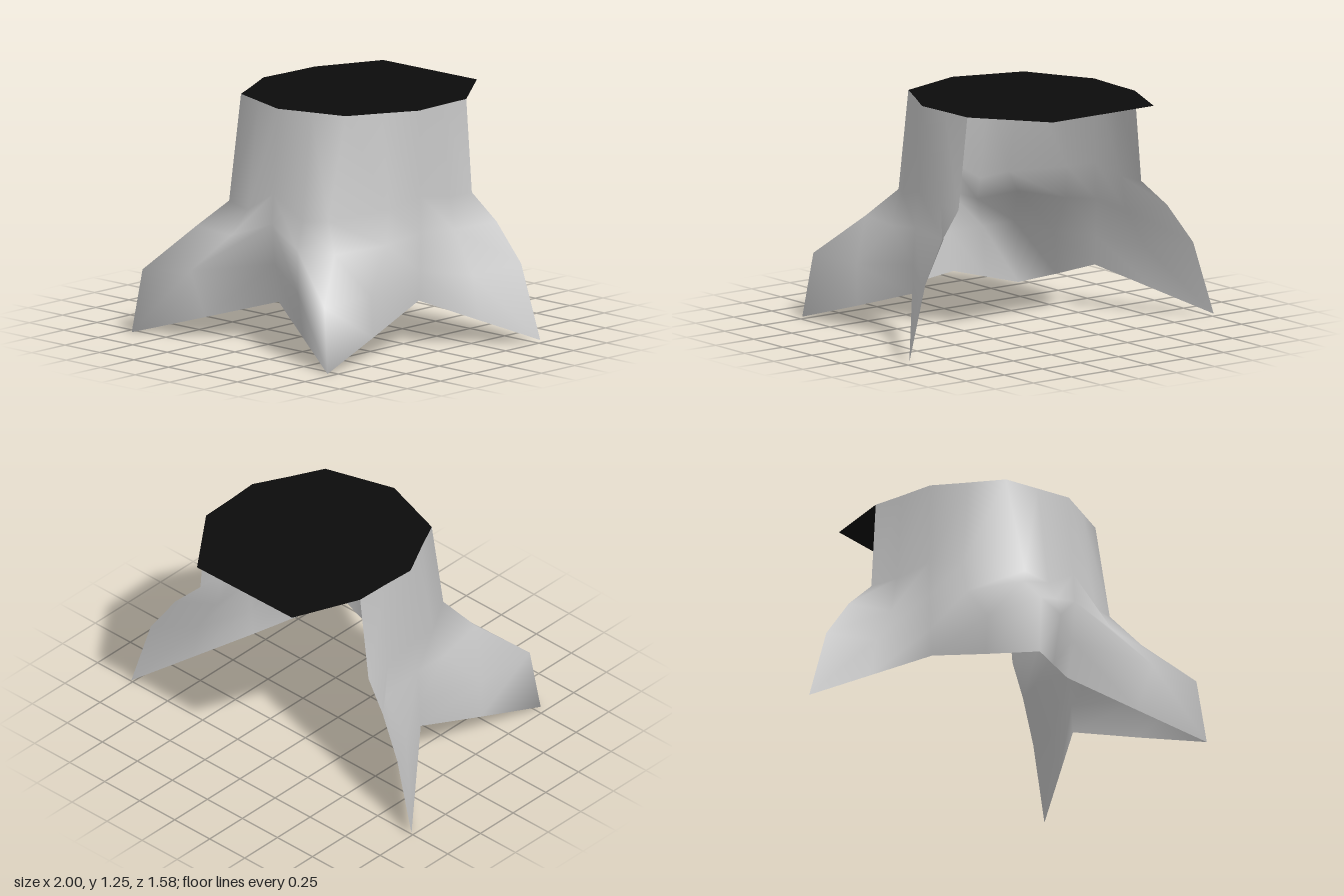
import * as THREE from 'three';

// Half of the stump wall: columns from the back root round to the front middle,
// each running from the rim down through shoulder, hip and knee to the ground edge.
const HALF_COLUMNS = [
  [[0.55, 1.25, -0.42], [0.6, 0.76, -0.41], [0.74, 0.62, -0.45], [0.88, 0.41, -0.49], [1, 0.015, -0.51]], // back root
  [[0.555, 1.25, -0.24], [0.59, 0.76, -0.25], [0.6, 0.58, -0.28], [0.74, 0.36, -0.27], [0.8, 0.13, -0.26]],
  [[0.565, 1.25, -0.05], [0.58, 0.8, -0.04], [0.595, 0.6, -0.03], [0.6, 0.4, -0.02], [0.6, 0.245, -0.01]], // side valley
  [[0.47, 1.25, 0.13], [0.54, 0.75, 0.15], [0.57, 0.57, 0.2], [0.65, 0.34, 0.4], [0.655, 0.12, 0.39]],
  [[0.38, 1.25, 0.31], [0.36, 0.7, 0.42], [0.5, 0.56, 0.52], [0.66, 0.34, 0.76], [0.71, 0, 0.79]], // front root
  [[0.19, 1.25, 0.37], [0.2, 0.68, 0.45], [0.24, 0.55, 0.53], [0.39, 0.36, 0.68], [0.355, 0.107, 0.605]],
  [[0, 1.25, 0.43], [0, 0.8, 0.46], [0, 0.64, 0.47], [0, 0.42, 0.45], [0, 0.215, 0.42]], // front valley
];

// Mirror the half to get the full open-backed ring of columns
function allColumns() {
  const mirrored = HALF_COLUMNS.slice(0, -1).reverse()
    .map((column) => column.map(([x, y, z]) => [-x, y, z]));
  return [...HALF_COLUMNS, ...mirrored];
}

// Smooth surface through a grid of columns
function skin(columns) {
  const rows = columns[0].length;
  const index = [];
  for (let i = 0; i < columns.length - 1; i++) {
    for (let j = 0; j < rows - 1; j++) {
      const a = i * rows + j;
      const b = a + rows;
      // Flip the diagonal on one side so that both halves match
      if (i < (columns.length - 1) / 2) index.push(a, b, a + 1, b, b + 1, a + 1);
      else index.push(a, b, b + 1, a, b + 1, a + 1);
    }
  }
  const geometry = new THREE.BufferGeometry();
  geometry.setAttribute('position', new THREE.Float32BufferAttribute(columns.flat(2), 3));
  geometry.setIndex(index);
  geometry.computeVertexNormals();
  return geometry;
}

export function createModel() {
  const bark = new THREE.MeshStandardMaterial({ color: 0xc4c4c4, side: THREE.DoubleSide });
  bark.name = 'pale grey';
  const dark = new THREE.MeshStandardMaterial({ color: 0x0b0b0b, side: THREE.DoubleSide });
  dark.name = 'black';

  const model = new THREE.Group();
  model.name = 'stump';
  const columns = allColumns();

  // Flared wall with four pointed roots, open at the back
  const wall = new THREE.Mesh(skin(columns), bark);
  wall.name = 'rootedWall';
  model.add(wall);

  // Flat top that follows the rim and reaches out past the open back
  const outline = columns.map(([[x, , z]]) => new THREE.Vector2(x, -z));
  outline.push(new THREE.Vector2(-0.4, 0.78), new THREE.Vector2(0.27, 0.79));
  const topGeometry = new THREE.ShapeGeometry(new THREE.Shape(outline));
  topGeometry.rotateX(-Math.PI / 2);
  const top = new THREE.Mesh(topGeometry, dark);
  top.name = 'flatTop';
  top.position.y = 1.25;
  model.add(top);

  return model;
}
